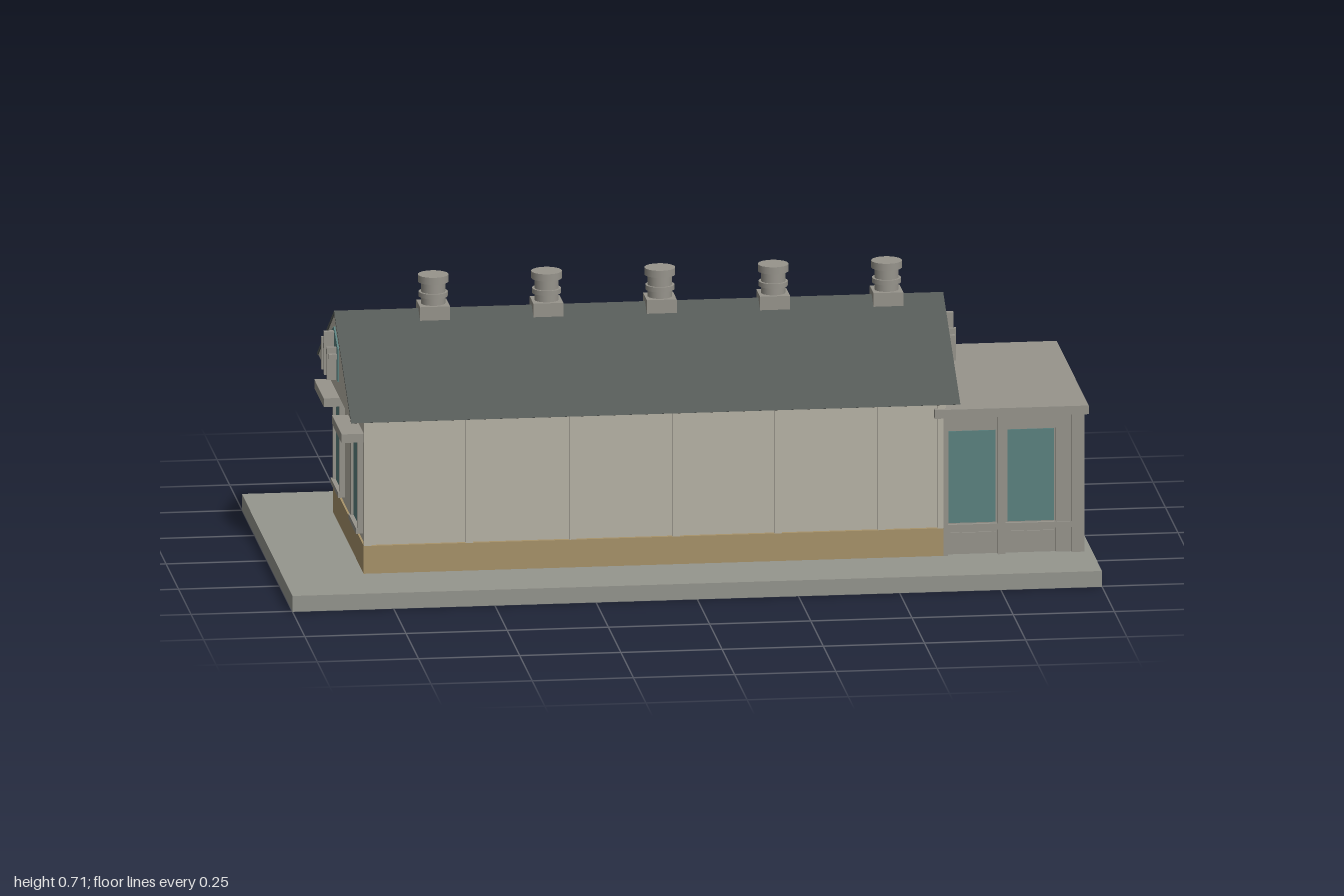
import * as THREE from 'three';

const mat = (name, color, side = THREE.FrontSide) => {
  const m = new THREE.MeshStandardMaterial({ color, side });
  m.name = name;
  return m;
};

export function createModel() {
  const concrete = mat('concrete', 0x95968e);
  const stone = mat('grey stone', 0x97948c);
  const plaster = mat('beige plaster', 0xb8b4a7);
  const ochre = mat('ochre plinth', 0xa8936a);
  const slate = mat('dark slate', 0x555a57, THREE.DoubleSide);
  const glass = mat('teal glass', 0x5b8280);

  const model = new THREE.Group();
  model.name = 'engineHall';

  const add = (parent, name, geo, material) => {
    const m = new THREE.Mesh(geo, material);
    m.name = name;
    parent.add(m);
    return m;
  };
  // Box given by its limits on each axis
  const box = (parent, name, material, x0, x1, y0, y1, z0, z1) => {
    const m = add(parent, name, new THREE.BoxGeometry(x1 - x0, y1 - y0, z1 - z0), material);
    m.position.set((x0 + x1) / 2, (y0 + y1) / 2, (z0 + z1) / 2);
    return m;
  };
  const group = (name) => {
    const g = new THREE.Group();
    g.name = name;
    model.add(g);
    return g;
  };
  // Outline in (z, y), pushed along x from x0 to x1
  const extrudeX = (parent, name, material, pts, x0, x1) => {
    const shape = new THREE.Shape(pts.map(([z, y]) => new THREE.Vector2(-z, y)));
    const geo = new THREE.ExtrudeGeometry(shape, { depth: x1 - x0, bevelEnabled: false });
    geo.rotateY(Math.PI / 2).translate(x0, 0, 0);
    return add(parent, name, geo, material);
  };

  box(model, 'groundSlab', concrete, -1, 1, 0, 0.04, -0.505, 0.505);

  // Main hall: plaster front and ends, plain stone rear
  const hall = group('hall');
  box(hall, 'hallWalls', plaster, -0.795, 0.64, 0.04, 0.43, -0.295, 0.3);
  box(hall, 'rearWall', stone, -0.795, 0.64, 0.04, 0.43, -0.305, -0.295);
  box(hall, 'rearPlinth', stone, -0.795, 0.64, 0.04, 0.1, -0.313, -0.305);
  box(hall, 'frontPlinth', ochre, -0.8, 0.64, 0.04, 0.11, 0.28, 0.31);
  box(hall, 'endPlinth', ochre, -0.8, -0.79, 0.04, 0.11, -0.305, 0.28);
  for (const x of [-0.79, -0.539, -0.283, -0.028, 0.224, 0.48, 0.627]) {
    box(hall, 'pilaster', plaster, x - 0.009, x + 0.009, 0.11, 0.43, 0.295, 0.31);
  }

  // Windows with flat canopies on the left-hand end wall
  for (const s of [-1, 1]) {
    const z = s * 0.178;
    const w = group('endWindow');
    box(w, 'pane', glass, -0.801, -0.794, 0.14, 0.355, z - 0.062, z + 0.062);
    for (const e of [-1, 1]) {
      const c = z + e * 0.067;
      box(w, 'jamb', stone, -0.808, -0.794, 0.13, 0.363, c - 0.006, c + 0.006);
    }
    box(w, 'sill', stone, -0.812, -0.794, 0.127, 0.14, z - 0.075, z + 0.075);
    box(w, 'canopy', stone, -0.85, -0.794, 0.363, 0.385, z - 0.095, z + 0.095);
  }

  // Gabled attic with thin slate slopes
  const roof = group('roof');
  extrudeX(roof, 'gable', plaster, [[0.338, 0.43], [-0.338, 0.43], [0, 0.623]], -0.832, 0.667);
  for (const s of [-1, 1]) {
    extrudeX(roof, 'roofSlope', slate,
      [[0, 0.622], [0, 0.628], [s * 0.345, 0.431], [s * 0.338, 0.429]].slice()[s > 0 ? 'slice' : 'reverse'](),
      -0.835, 0.67);
  }

  // House-shaped attic windows with projecting bars, one at each end
  const pane = [[-0.08, 0.468], [-0.08, 0.552], [0, 0.588], [0.08, 0.552], [0.08, 0.468]];
  for (const [wall, dir] of [[0.667, 1], [-0.832, -1]]) {
    const g = group('atticWindow');
    const span = (d) => [Math.min(wall, wall + dir * d), Math.max(wall, wall + dir * d)];
    extrudeX(g, 'atticPane', glass, pane, ...span(0.004));
    box(g, 'centreBar', stone, ...span(0.028), 0.468, 0.577, -0.007, 0.007);
    box(g, 'crossBar', stone, ...span(0.024), 0.523, 0.535, -0.071, 0.071);
    for (const s of [-1, 1]) {
      box(g, 'sideBar', stone, ...span(0.028), 0.468, 0.55, s * 0.053 - 0.005, s * 0.053 + 0.005);
    }
  }

  // Five ridge vents on square footings
  const profile = [[0.03, 0.63], [0.03, 0.658], [0.036, 0.658], [0.036, 0.67], [0.03, 0.67],
    [0.03, 0.695], [0.038, 0.695], [0.038, 0.713], [0, 0.713]];
  // Each straight run is its own band, so the edges stay crisp
  const bands = profile.slice(1).map((p, i) => [profile[i], p].map(([r, y]) => new THREE.Vector2(r, y)));
  for (let i = 0; i < 5; i++) {
    const vent = group('ridgeVent');
    vent.position.x = -0.59 + i * 0.28;
    box(vent, 'ventFooting', stone, -0.037, 0.037, 0.595, 0.64, -0.039, 0.039);
    for (const b of bands) add(vent, 'ventPipe', new THREE.LatheGeometry(b, 20), stone);
  }

  // Flat-roofed annex
  const annex = group('annex');
  box(annex, 'annexCore', stone, 0.635, 0.967, 0.04, 0.39, -0.297, 0.297);
  box(annex, 'annexRoof', stone, 0.61, 0.99, 0.39, 0.412, -0.32, 0.32);

  // Long sides: glazed at the front, blind panels at the rear
  for (const s of [-1, 1]) {
    const out = (a, b) => [Math.min(s * a, s * b), Math.max(s * a, s * b)];
    for (const [x0, x1] of [[0.632, 0.643], [0.767, 0.785], [0.957, 0.98]]) {
      box(annex, 'sidePost', stone, x0, x1, 0.04, 0.39, ...out(0.28, 0.311));
    }
    box(annex, 'sideRail', stone, 0.643, 0.957, 0.102, 0.117, ...out(0.29, 0.307));
    box(annex, 'sideHeader', stone, 0.643, 0.957, 0.355, 0.39, ...out(0.29, 0.303));
    box(annex, 'sideStile', stone, 0.91, 0.957, 0.04, 0.39, ...out(0.29, 0.303));
    for (const [x0, x1] of [[0.646, 0.762], [0.792, 0.906]]) {
      if (s > 0) box(annex, 'sidePane', glass, x0, x1, 0.12, 0.352, 0.296, 0.3);
      box(annex, 'lowerPanel', stone, x0 + 0.005, x1, 0.045, 0.095, ...out(0.296, 0.301));
    }
  }

  // Glazed end wall
  for (const z of [-0.3, -0.28, -0.093, 0.093, 0.28, 0.3]) {
    const corner = Math.abs(z) > 0.29;
    const h = corner ? 0.011 : 0.009;
    box(annex, 'endPost', stone, 0.95, corner ? 0.98 : 0.976, 0.04, 0.39, z - h, z + h);
  }
  for (const z of [-0.187, 0, 0.187]) {
    box(annex, 'endPane', glass, 0.965, 0.97, 0.12, 0.35, z - 0.075, z + 0.075);
  }
  return model;
}
